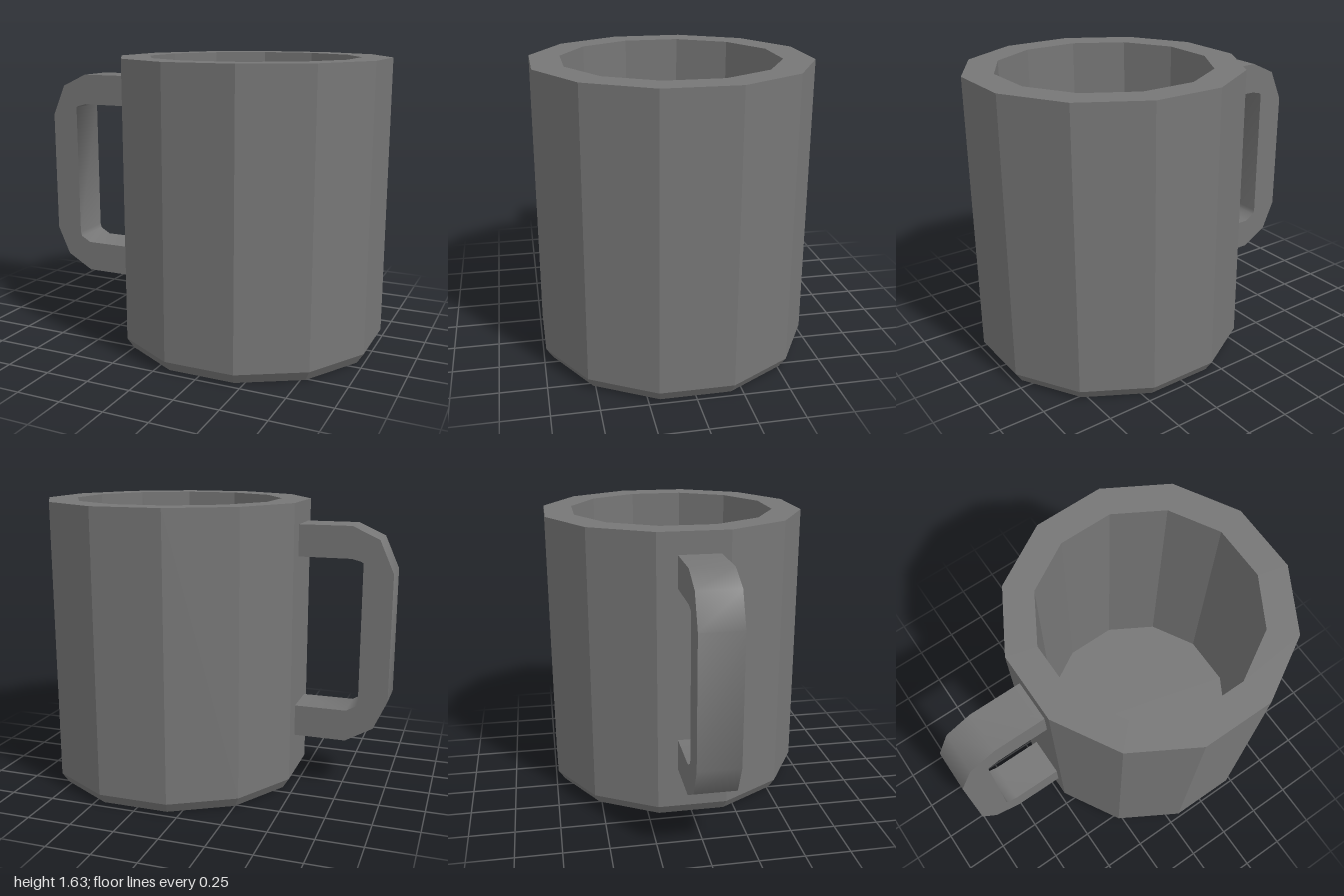
import * as THREE from 'three';
import { toCreasedNormals } from 'three/addons/utils/BufferGeometryUtils.js';

const COLOR = 0x767676;
const points = (list) => list.map(([x, y]) => new THREE.Vector2(x, y));

export function createModel() {
  const model = new THREE.Group();
  model.name = 'mug';

  // Twelve-sided cup: profile widths are measured to the flat of each facet
  const sides = 12;
  const toCorner = 1 / Math.cos(Math.PI / sides);
  const profile = points([
    [0, 0], [0.7, 0], [0.738, 0.06], [0.738, 1.632], // base, bevel, outer wall
    [0.575, 1.632], [0.575, 0.16], [0, 0.16],        // rim, inner wall, floor
  ].map(([r, y]) => [r * toCorner, y]));
  const cup = new THREE.Mesh(
    new THREE.LatheGeometry(profile, sides, Math.PI / sides),
    new THREE.MeshStandardMaterial({ color: COLOR, flatShading: true })
  );
  cup.name = 'cup';
  cup.position.x = 0.262;
  model.add(cup);

  // Handle: C-shaped outline with cut corners, ends sunk into the cup wall
  const outline = new THREE.Shape(points([
    [-0.45, 1.51], [-0.77, 1.51], [-0.92, 1.44], [-1, 1.26],
    [-1, 0.545], [-0.925, 0.38], [-0.77, 0.291], [-0.45, 0.291],
    [-0.45, 0.47], [-0.77, 0.47], [-0.828, 0.503], [-0.836, 0.53],
    [-0.836, 1.312], [-0.822, 1.32], [-0.77, 1.333], [-0.45, 1.333],
  ]));
  const bar = new THREE.ExtrudeGeometry(outline, { depth: 0.23, bevelEnabled: false });
  const handle = new THREE.Mesh(
    toCreasedNormals(bar, 1.2), // smooth round the bends, sharp at the sides
    new THREE.MeshStandardMaterial({ color: COLOR })
  );
  handle.name = 'handle';
  handle.position.z = -0.085;
  model.add(handle);

  return model;
}
